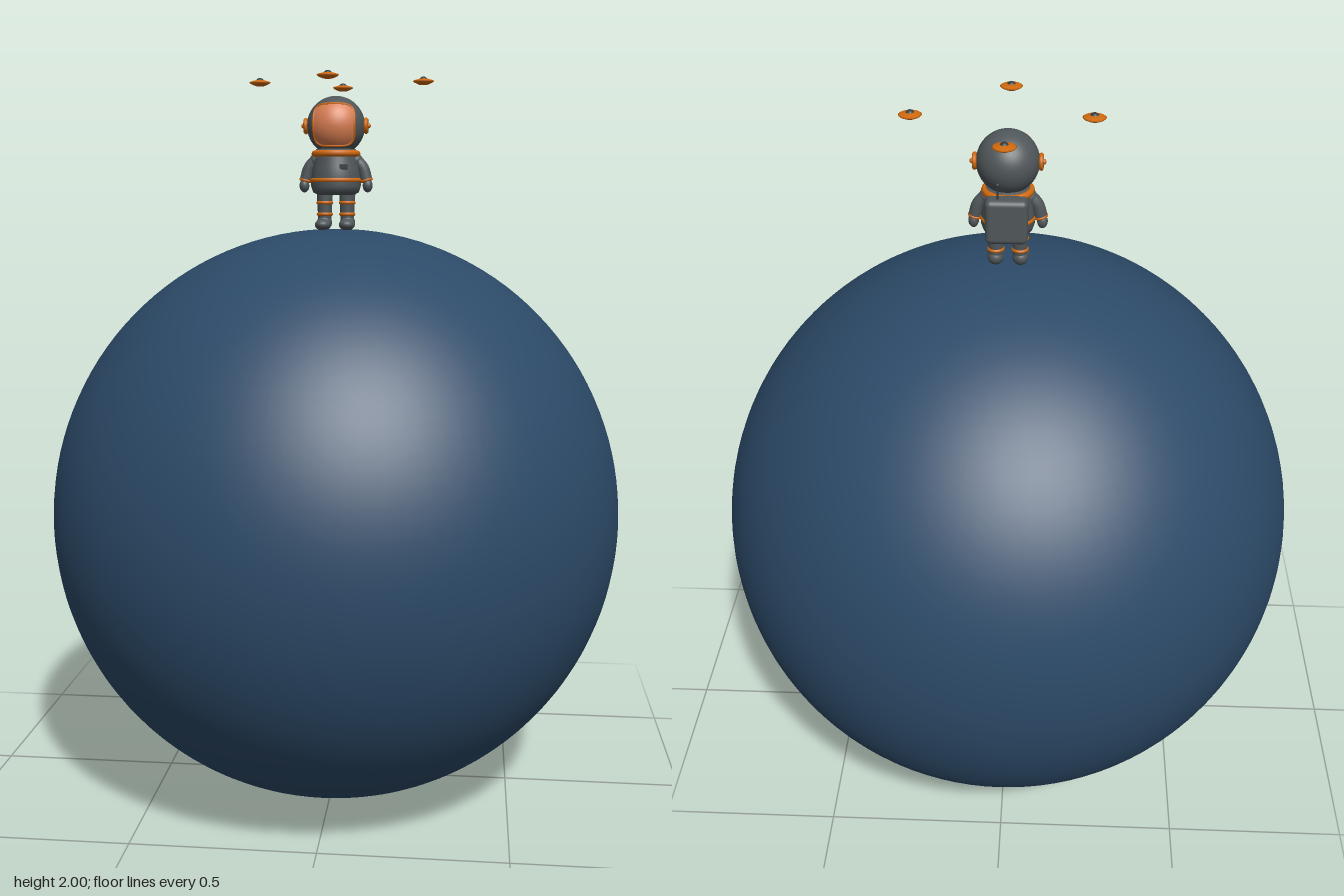
import * as THREE from 'three';
import { RoundedBoxGeometry } from 'three/addons/geometries/RoundedBoxGeometry.js';

const mat = (color) => new THREE.MeshStandardMaterial({ color });
const blue = mat(0x2c4a68), grey = mat(0x50575a), orange = mat(0xd0690f), glass = mat(0xd67c50), dark = mat(0x33393c);
glass.side = THREE.DoubleSide;

function add(parent, name, geometry, material, x = 0, y = 0, z = 0) {
  const mesh = new THREE.Mesh(geometry, material);
  mesh.name = name;
  mesh.position.set(x, y, z);
  parent.add(mesh);
  return mesh;
}

const lathe = (points, segments = 32) =>
  new THREE.LatheGeometry(points.map(([r, y]) => new THREE.Vector2(r, y)), segments);

// Flat horizontal ring
const band = (radius, tube) => new THREE.TorusGeometry(radius, tube, 10, 36).rotateX(Math.PI / 2);

// Point of a rounded square window laid onto a sphere
function onSphere(angle, scale, half, radius) {
  const c = Math.cos(angle), s = Math.sin(angle);
  const k = half * scale / Math.pow(c ** 4 + s ** 4, 0.25);
  const x = c * k, y = s * k;
  return new THREE.Vector3(x, y, Math.sqrt(radius ** 2 - x * x - y * y));
}

function createHelmet() {
  const helmet = new THREE.Group();
  helmet.name = 'helmet';
  helmet.position.y = 1.872;
  add(helmet, 'helmetShell', new THREE.SphereGeometry(0.079, 40, 28), grey);

  // Visor pane and its rim
  const pane = new THREE.RingGeometry(0.001, 1, 48, 8);
  const p = pane.attributes.position;
  for (let i = 0; i < p.count; i++) {
    const v = onSphere(Math.atan2(p.getY(i), p.getX(i)), Math.hypot(p.getX(i), p.getY(i)), 0.054, 0.081);
    p.setXYZ(i, v.x, v.y, v.z);
  }
  pane.computeVertexNormals();
  add(helmet, 'visor', pane, glass);
  const rim = [];
  for (let i = 0; i < 40; i++) rim.push(onSphere(i / 40 * Math.PI * 2, 1, 0.055, 0.08));
  add(helmet, 'visorRim', new THREE.TubeGeometry(new THREE.CatmullRomCurve3(rim, true), 80, 0.0035, 8, true), orange);

  // Ear caps
  for (const side of [-1, 1]) {
    add(helmet, 'earRing', new THREE.TorusGeometry(0.016, 0.006, 10, 28).rotateY(Math.PI / 2), orange, side * 0.082);
    add(helmet, 'earCap', new THREE.CylinderGeometry(0.015, 0.015, 0.02, 24).rotateZ(Math.PI / 2), grey, side * 0.078);
    add(helmet, 'earBolt', new THREE.SphereGeometry(0.007, 14, 10), orange, side * 0.088);
  }
  return helmet;
}

function createLimbs(parent) {
  for (const side of [-1, 1]) {
    // Arm with cuff and mitten
    const path = new THREE.CatmullRomCurve3([[0.05, 1.785, 0], [0.073, 1.76, 0], [0.083, 1.728, 0]]
      .map(([x, y, z]) => new THREE.Vector3(side * x, y, z)));
    add(parent, 'arm', new THREE.TubeGeometry(path, 14, 0.017, 16), grey);
    add(parent, 'shoulder', new THREE.SphereGeometry(0.02, 18, 14), grey, side * 0.053, 1.78, 0);
    const cuff = add(parent, 'wristBand', band(0.0145, 0.004), orange, side * 0.083, 1.727, 0);
    cuff.rotation.z = side * 0.25;
    const hand = add(parent, 'mitten', new THREE.SphereGeometry(0.016, 18, 14), grey, side * 0.087, 1.713, 0.002);
    hand.scale.set(0.85, 1.15, 1);

    // Leg with two bands
    add(parent, 'leg', new THREE.CylinderGeometry(0.023, 0.018, 0.09, 20), grey, side * 0.031, 1.66, 0);
    add(parent, 'kneeBand', band(0.0185, 0.005), orange, side * 0.031, 1.667, 0);
    add(parent, 'ankleBand', band(0.0175, 0.005), orange, side * 0.031, 1.636, 0);

    // Boot
    const toe = add(parent, 'bootToe', new THREE.SphereGeometry(0.022, 20, 14), grey, side * 0.033, 1.608, 0.032);
    toe.scale.set(1, 0.72, 1.25);
    const heel = add(parent, 'bootHeel', new THREE.SphereGeometry(0.021, 20, 14), grey, side * 0.032, 1.613, 0.001);
    heel.scale.set(1, 1, 1.1);
  }
}

function createAstronaut() {
  const astronaut = new THREE.Group();
  astronaut.name = 'astronaut';
  add(astronaut, 'suitBody', lathe([[0, 1.688], [0.05, 1.688], [0.063, 1.695], [0.068, 1.71], [0.068, 1.735],
    [0.064, 1.76], [0.058, 1.785], [0.054, 1.81], [0, 1.815]], 36), grey);
  add(astronaut, 'collar', band(0.058, 0.009), orange, 0, 1.798, 0);
  add(astronaut, 'belt', band(0.065, 0.0065), orange, 0, 1.727, 0);
  add(astronaut, 'chestPanel', new RoundedBoxGeometry(0.022, 0.014, 0.008, 2, 0.002), dark, 0.026, 1.762, 0.058);
  astronaut.add(createHelmet());
  createLimbs(astronaut);

  // Backpack and antenna
  add(astronaut, 'backpack', new RoundedBoxGeometry(0.106, 0.115, 0.05, 4, 0.014), grey, 0, 1.752, -0.08);
  add(astronaut, 'antenna', new THREE.CylinderGeometry(0.0025, 0.0025, 0.045, 10), dark, 0.022, 1.825, -0.085);
  add(astronaut, 'antennaTip', new THREE.SphereGeometry(0.005, 12, 10), dark, 0.022, 1.845, -0.085);
  return astronaut;
}

function createSaucer(x, z) {
  const saucer = new THREE.Group();
  saucer.name = 'saucer';
  saucer.position.set(x, 1.988, z);
  add(saucer, 'saucerDisc', lathe([[0, -0.01], [0.013, -0.009], [0.026, -0.003], [0.029, 0], [0.026, 0.002],
    [0.012, 0.006], [0, 0.006]], 28), orange);
  add(saucer, 'saucerDome', new THREE.SphereGeometry(0.012, 20, 8, 0, Math.PI * 2, 0, Math.PI / 2), dark, 0, 0, 0);
  return saucer;
}

export function createModel() {
  const model = new THREE.Group();
  model.name = 'astronautOnPlanet';
  const planet = add(model, 'planet', new THREE.SphereGeometry(0.792, 96, 64), blue, 0, 0.798, 0);
  planet.scale.y = 0.798 / 0.792;
  model.add(createAstronaut());
  for (const [x, z] of [[-0.208, -0.003], [0.236, -0.003], [0, -0.196], [0, 0.206]]) model.add(createSaucer(x, z));
  return model;
}
